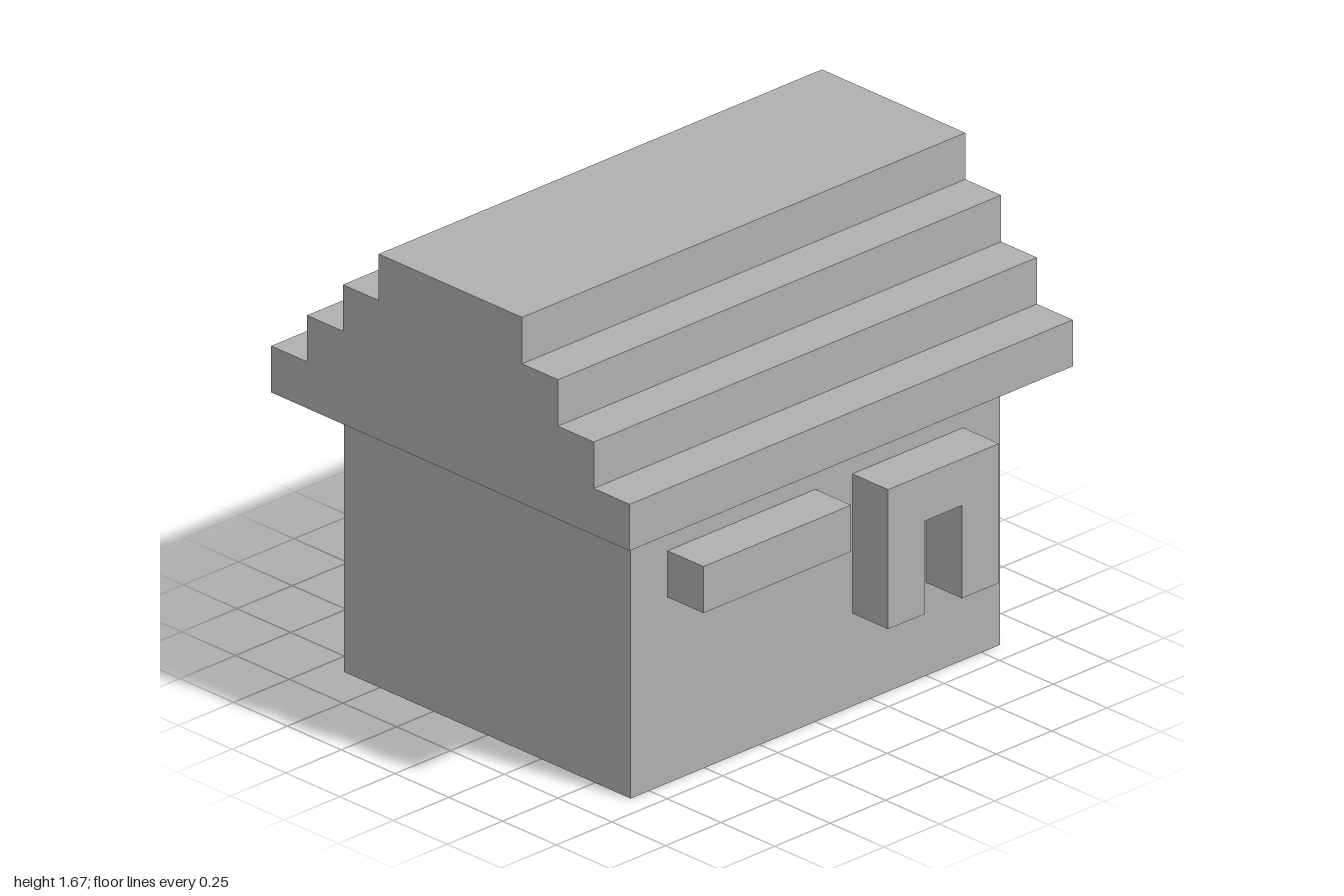
import * as THREE from 'three';

const U = 1 / 6; // building block size

export function createModel() {
  const model = new THREE.Group();
  const stone = new THREE.MeshStandardMaterial({ color: 0xb0b0b0 });
  stone.name = 'plain grey';

  const add = (name, geometry) => {
    const mesh = new THREE.Mesh(geometry, stone);
    mesh.name = name;
    model.add(mesh);
    return mesh;
  };
  const extrude = (points, depth) => new THREE.ExtrudeGeometry(
    new THREE.Shape(points.map(([x, y]) => new THREE.Vector2(x * U, y * U))),
    { depth: depth * U, bevelEnabled: false });

  // Walls
  add('walls', new THREE.BoxGeometry(10 * U, 6 * U, 8 * U)).position.y = 3 * U;

  // Stepped roof: half profile of step widths, mirrored, extruded along x
  const half = [];
  [5, 4, 3, 2].forEach((w, i) => half.push([w, 6 + i], [w, 7 + i]));
  const profile = [...half, ...half.map(([w, y]) => [-w, y]).reverse()];
  const roof = extrude(profile, 12);
  roof.translate(0, 0, -6 * U);
  roof.rotateY(Math.PI / 2);
  add('steppedRoof', roof);

  // Ledge on the front wall
  add('frontLedge', new THREE.BoxGeometry(4 * U, U, U)).position.set(-2 * U, 4.5 * U, 4.5 * U);

  // Arch-shaped surround on the front wall
  const arch = [[1, 2], [2, 2], [2, 4], [3, 4], [3, 2], [4, 2], [4, 5], [1, 5]];
  add('frontArch', extrude(arch, 1)).position.z = 4 * U;

  return model;
}
